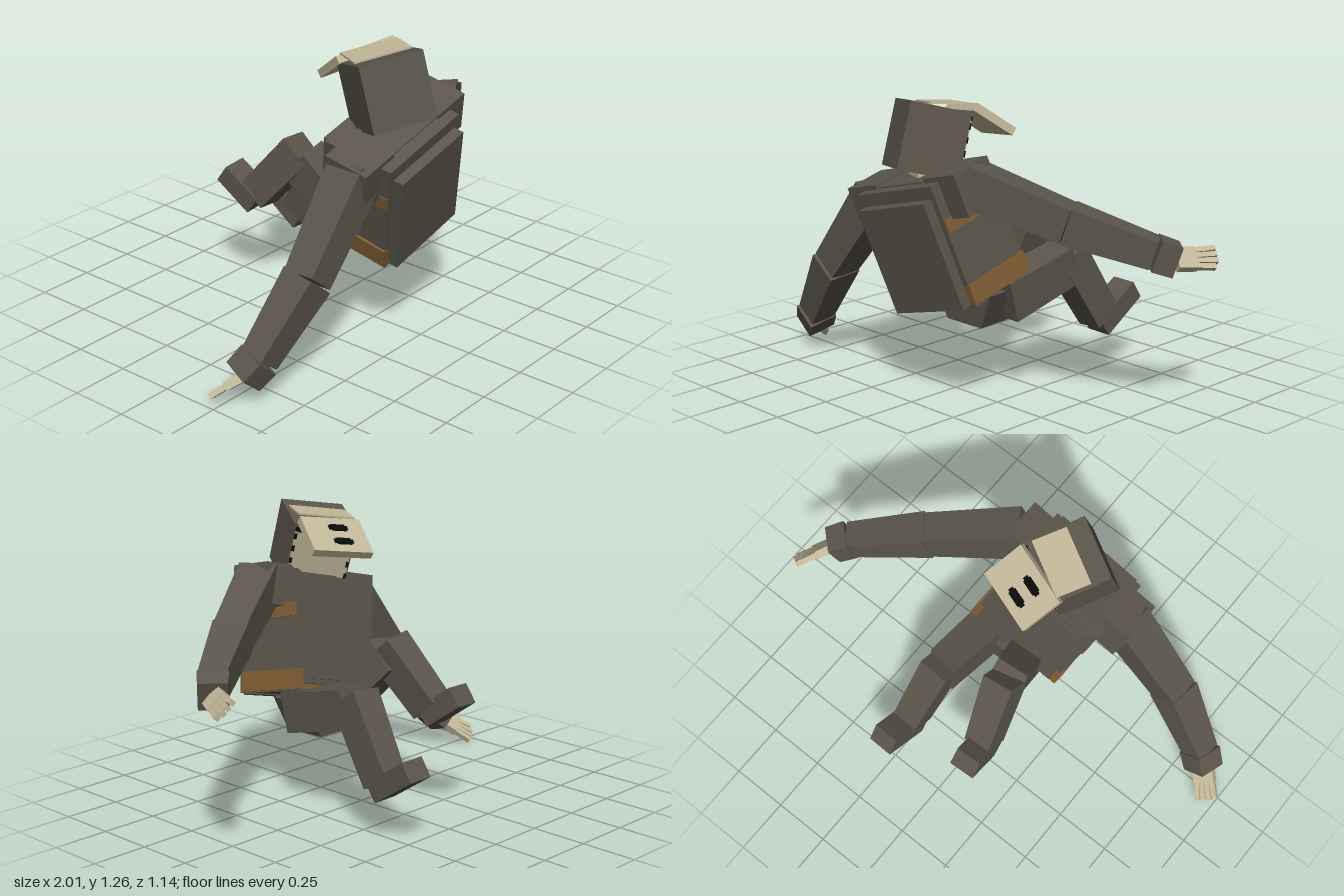
import * as THREE from 'three';

const material = (name, color) => Object.assign(new THREE.MeshStandardMaterial({ color }), { name });
const V = (p) => new THREE.Vector3(...p);

export function createModel() {
  const model = new THREE.Group();
  const cloth = material('greyCloth', 0x5b554b);
  const bone = material('bone', 0xc2b799);
  const leather = material('brownLeather', 0x805d33);
  const black = material('black', 0x090a09);

  // Group with its own right (x) and up (y) directions
  function frame(name, origin, right, up) {
    const x = V(right).normalize();
    const z = new THREE.Vector3().crossVectors(x, V(up)).normalize();
    const y = new THREE.Vector3().crossVectors(z, x);
    const g = new THREE.Group();
    g.name = name;
    g.position.set(...origin);
    g.quaternion.setFromRotationMatrix(new THREE.Matrix4().makeBasis(x, y, z));
    model.add(g);
    return g;
  }

  function box(parent, name, mat, size, pos, tiltX = 0) {
    const m = new THREE.Mesh(new THREE.BoxGeometry(...size), mat);
    m.name = name;
    m.position.set(...pos);
    m.rotation.x = tiltX;
    parent.add(m);
    return m;
  }

  // Tapered block from a to b; s0 and s1 are [width, depth] at each end, width along the hint
  function limb(name, mat, a, b, s0, s1, hint) {
    const A = V(a), B = V(b);
    const y = B.clone().sub(A);
    const length = y.length();
    y.normalize();
    const h = V(hint);
    const x = h.sub(y.clone().multiplyScalar(h.dot(y))).normalize();
    const mid = A.add(B).multiplyScalar(0.5);
    const g = frame(name, mid.toArray(), x.toArray(), y.toArray());
    const geo = new THREE.BoxGeometry(1, length, 1);
    const p = geo.attributes.position;
    for (let i = 0; i < p.count; i++) {
      const s = p.getY(i) > 0 ? s1 : s0;
      p.setX(i, p.getX(i) * s[0]);
      p.setZ(i, p.getZ(i) * s[1]);
    }
    geo.computeVertexNormals();
    const m = new THREE.Mesh(geo, mat);
    m.name = name;
    g.add(m);
    return g;
  }

  // Torso with padded vest, leaning back and sideways
  const torso = frame('torso', [0.02, 0.61, 0.517], [0.97, 0.247, 0], [-0.24, 0.944, 0.235]);
  box(torso, 'backPanel', cloth, [0.41, 0.46, 0.05], [0, 0, -0.025]);
  box(torso, 'backPlate', cloth, [0.46, 0.525, 0.06], [0, 0.022, -0.075]);
  box(torso, 'body', cloth, [0.455, 0.5, 0.27], [0, 0.015, -0.235]);
  box(torso, 'chestPlate', cloth, [0.41, 0.46, 0.04], [0, 0.025, -0.375]);
  box(torso, 'chestPanel', cloth, [0.36, 0.42, 0.012], [0, 0.025, -0.401]);
  box(torso, 'lowerStrap', leather, [0.478, 0.085, 0.335], [0, -0.186, -0.212]);
  box(torso, 'upperStrap', leather, [0.468, 0.06, 0.31], [0, 0.11, -0.205]);
  box(torso, 'yoke', cloth, [0.4, 0.04, 0.2], [0, 0.27, -0.2]);
  for (const s of [-1, 1]) {
    box(torso, 'shoulder', cloth, [0.18, 0.18, 0.2], [s * 0.24, 0.215, -0.19]);
  }

  // Hips tapering down between the legs
  limb('pelvis', cloth, [0.075, 0.46, 0.175], [0.075, 0.305, 0.17], [0.34, 0.22], [0.2, 0.2], [1, 0, 0]);
  limb('neck', bone, [-0.05, 0.86, 0.33], [-0.05, 0.99, 0.32], [0.16, 0.16], [0.16, 0.16], [0.87, 0.14, 0.47]);

  // Hooded head, turned to its side
  const head = frame('head', [-0.056, 1.07, 0.346], [0.87, 0.14, 0.47], [0, 0.957, -0.287]);
  const zf = -0.131;
  box(head, 'hood', cloth, [0.276, 0.279, 0.256], [0, 0, 0.003]);
  box(head, 'face', bone, [0.262, 0.25, 0.006], [0, -0.014, zf + 0.003]);
  box(head, 'hoodEdgeTop', black, [0.262, 0.018, 0.008], [0, 0.117, zf + 0.002]);
  for (let i = 0; i < 8; i++) {
    const h = [0.016, 0.006, 0.011, 0.004][i % 4];
    box(head, 'hoodFringe', black, [0.024, h, 0.008], [-0.105 + i * 0.03, 0.108 - h / 2, zf + 0.002]);
  }
  for (const s of [-1, 1]) {
    for (let i = 0; i < 4; i++) {
      box(head, 'hoodEdgeSide', black, [0.011, 0.026, 0.008], [s * 0.126, 0.085 - i * 0.056, zf + 0.002]);
    }
  }
  box(head, 'topFlap', bone, [0.25, 0.008, 0.15], [0, 0.16, -0.025], 0.2);

  // Mask pushed up off the face, with two long eye slots
  const mask = frame('mask', [0.027, 1.152, 0.117], [0.943, 0.14, 0.3], [0.0635, 0.81, -0.577]);
  box(mask, 'maskPlate', bone, [0.28, 0.035, 0.2], [0, -0.0175, 0]);
  for (const s of [-1, 1]) {
    box(mask, 'eyeSlot', black, [0.068, 0.006, 0.036], [-0.018, 0.001, s * 0.04]);
    box(mask, 'eyeSlotEnds', black, [0.09, 0.006, 0.022], [-0.018, 0.001, s * 0.04]);
  }

  // Arms with cuffs and spread fingers
  function arm(side, [shoulder, elbow, wrist, cuff, tip], hint, fan) {
    limb(side + 'UpperArm', cloth, shoulder, elbow, [0.17, 0.165], [0.14, 0.14], hint);
    limb(side + 'Forearm', cloth, elbow, wrist, [0.15, 0.15], [0.115, 0.115], hint);
    limb(side + 'Cuff', cloth, wrist, cuff, [0.13, 0.125], [0.125, 0.12], hint);
    const length = V(tip).distanceTo(V(cuff));
    const palmEnd = V(cuff).lerp(V(tip), 0.5).toArray();
    const hand = limb(side + 'Palm', bone, cuff, palmEnd, [0.09, 0.04], [0.096, 0.035], fan);
    for (let i = 0; i < 4; i++) {
      const k = i - 1.5;
      const l = length * (i === 0 ? 0.45 : 0.55);
      const f = box(hand, side + 'Finger', bone, [0.021, l, 0.024], [k * 0.025, length * 0.24 + l / 2, 0]);
      f.rotation.z = -k * 0.05;
    }
  }
  arm('left', [[0.22, 0.945, 0.385], [0.57, 0.805, 0.175], [0.85, 0.70, -0.02], [0.905, 0.672, -0.08], [0.98, 0.665, -0.23]],
    [0, 1, 0], [-0.6, 0.75, -0.3]);
  arm('right', [[-0.30, 0.81, 0.385], [-0.6, 0.45, 0.39], [-0.82, 0.17, 0.33], [-0.875, 0.105, 0.295], [-0.965, 0.03, 0.21]],
    [0, 0, 1], [0.8, -0.3, -0.3]);

  // Bent legs with toes pointing up and back
  function leg(side, [hip, knee, kneeTop, ankle, heel, toe]) {
    const across = [1, 0, 0];
    limb(side + 'Thigh', cloth, hip, knee, [0.165, 0.175], [0.145, 0.165], across);
    limb(side + 'Shin', cloth, kneeTop, ankle, [0.14, 0.15], [0.12, 0.14], across);
    limb(side + 'Foot', cloth, heel, toe, [0.118, 0.09], [0.115, 0.09], across);
  }
  leg('left', [[0.2, 0.415, 0.18], [0.22, 0.505, -0.18], [0.22, 0.55, -0.17], [0.25, 0.235, -0.37],
    [0.25, 0.195, -0.345], [0.257, 0.328, -0.545]]);
  leg('right', [[0.01, 0.38, 0.17], [-0.06, 0.66, -0.1], [-0.06, 0.7, -0.09], [-0.11, 0.46, -0.3],
    [-0.115, 0.42, -0.29], [-0.13, 0.535, -0.45]]);

  return model;
}
